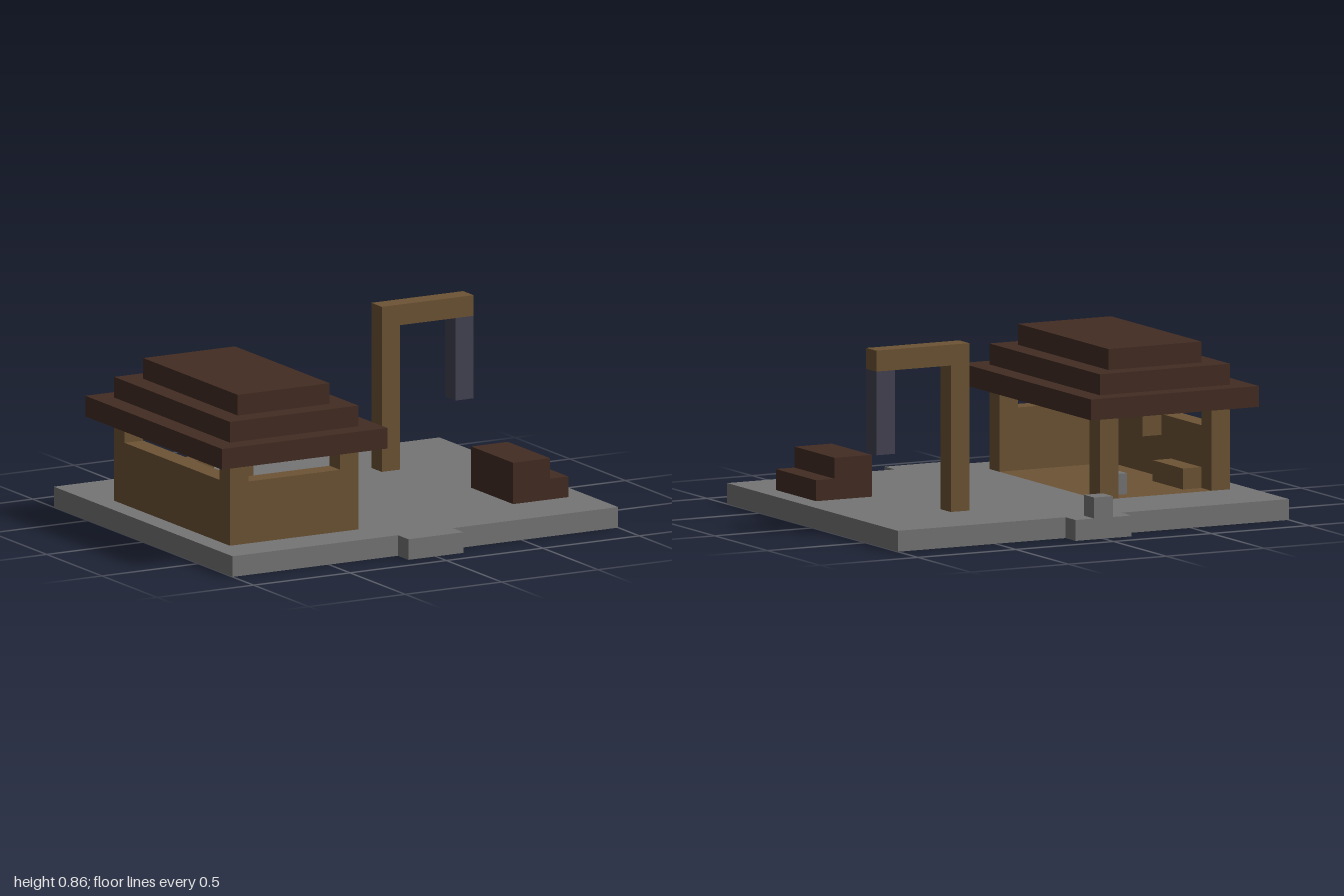
import * as THREE from 'three';

const U = 2 / 21; // one block

const mat = (name, color) => {
  const m = new THREE.MeshStandardMaterial({ color });
  m.name = name;
  return m;
};

export function createModel() {
  const stone = mat('stone grey', 0x757575);
  const wood = mat('light wood', 0x6d5434);
  const darkWood = mat('dark wood', 0x422c23);
  const slate = mat('slate blue', 0x434252);

  const model = new THREE.Group();
  model.name = 'hutOnPlatform';

  const group = (name) => {
    const g = new THREE.Group();
    g.name = name;
    model.add(g);
    return g;
  };

  // Box between block coordinates; x runs 0..21, z runs 0..19 from the back
  const block = (parent, name, material, [x0, x1], [y0, y1], [z0, z1]) => {
    const geo = new THREE.BoxGeometry((x1 - x0) * U, (y1 - y0) * U, (z1 - z0) * U);
    const mesh = new THREE.Mesh(geo, material);
    mesh.name = name;
    mesh.position.set(((x0 + x1) / 2 - 10.5) * U, ((y0 + y1) / 2) * U, ((z0 + z1) / 2 - 9.5) * U);
    parent.add(mesh);
  };

  // Platform with a tab at front and back, cut out for the hut floor
  const points = (list) => list.map(([x, z]) => new THREE.Vector2((x - 10.5) * U, (9.5 - z) * U));
  const outline = new THREE.Shape(points([
    [0, 18], [9, 18], [9, 19], [12, 19], [12, 18], [21, 18],
    [21, 1], [12, 1], [12, 0], [9, 0], [9, 1], [0, 1],
  ]));
  outline.holes.push(new THREE.Path(points([[1, 5], [8, 5], [8, 16], [1, 16]])));
  const platformGeo = new THREE.ExtrudeGeometry(outline, { depth: U, bevelEnabled: false });
  platformGeo.rotateX(-Math.PI / 2);
  const platform = new THREE.Mesh(platformGeo, stone);
  platform.name = 'platform';
  model.add(platform);
  block(model, 'backMarker', stone, [10, 11], [1, 2], [0, 1]);

  // Hut: floor, corner posts, two low walls
  const hut = group('hut');
  block(hut, 'hutFloor', wood, [1, 8], [0, 1], [5, 16]);
  for (const x of [1, 7]) {
    for (const z of [5, 15]) block(hut, 'cornerPost', wood, [x, x + 1], [1, 5], [z, z + 1]);
  }
  block(hut, 'frontWall', wood, [2, 7], [1, 4], [15, 16]);
  block(hut, 'sideWall', wood, [1, 2], [1, 4], [6, 15]);

  // Hut furnishings
  block(hut, 'bench', wood, [2, 3], [1, 2], [6, 9]);
  block(hut, 'wallShelf', wood, [2, 3], [3, 4], [10, 11]);
  block(hut, 'stoneStool', stone, [6, 7], [1, 2], [6, 7]);

  // Stepped roof
  const roof = group('roof');
  for (let i = 0; i < 3; i++) {
    block(roof, 'roofTier', darkWood, [i, 9 - i], [5 + i, 6 + i], [4 + i, 17 - i]);
  }

  // Gallows-shaped frame with a hanging bar
  const frame = group('hangingFrame');
  block(frame, 'framePost', wood, [15, 16], [1, 8], [5, 6]);
  block(frame, 'frameBeam', wood, [15, 20], [8, 9], [5, 6]);
  block(frame, 'hangingBar', slate, [19, 20], [4, 8], [5, 6]);

  // Stepped crate
  const crate = group('steppedCrate');
  block(crate, 'crateTall', darkWood, [17, 19], [1, 3], [11, 15]);
  block(crate, 'crateStep', darkWood, [19, 20], [1, 2], [11, 15]);

  return model;
}
